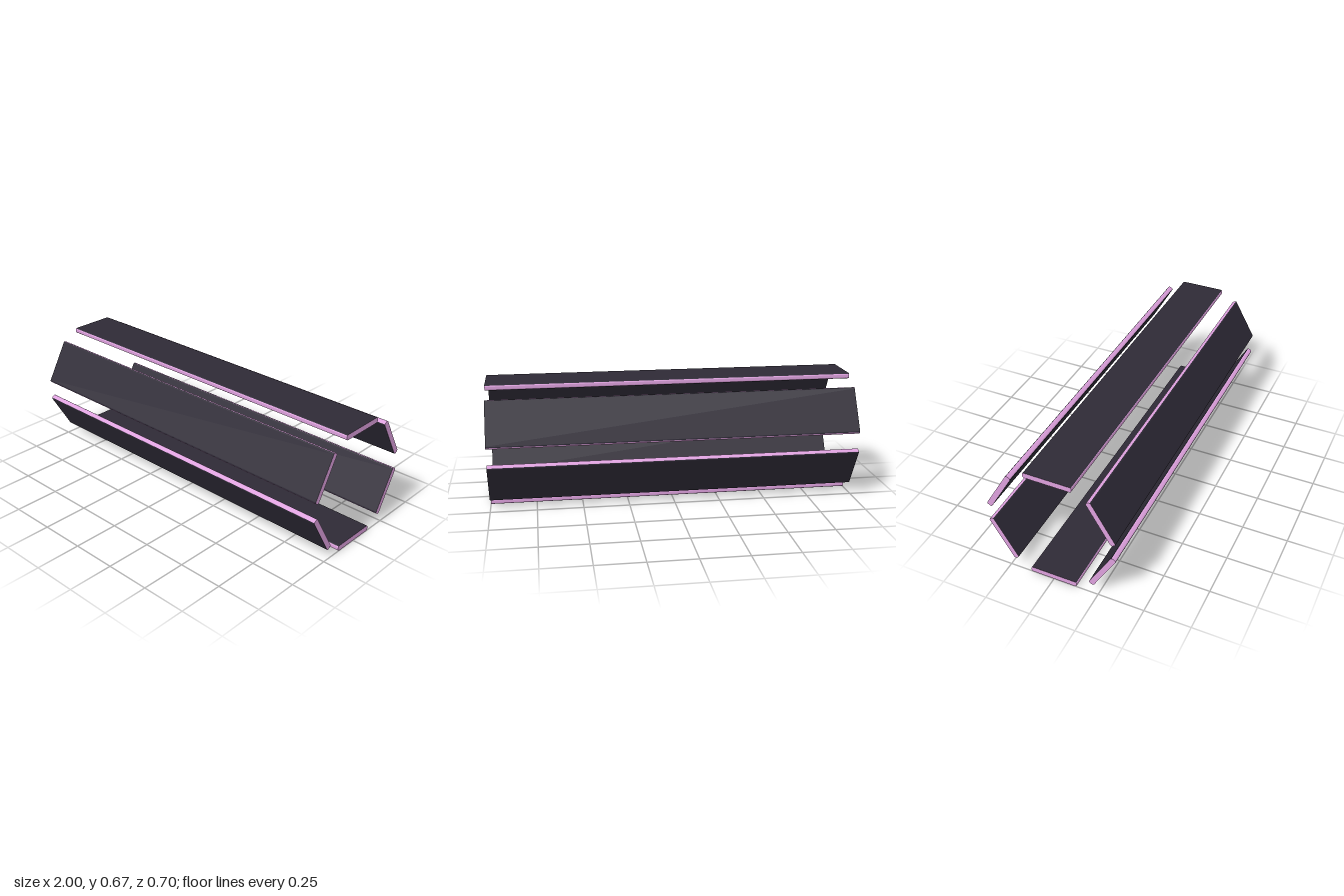
import * as THREE from 'three';

const LENGTH = 2, WIDTH = 0.26, THICK = 0.03, CORNER = 0.01;
const RING_RADIUS = 0.319, CENTRE_Y = 0.334;

// Rounded-rectangle cross-section of one slat
function slatProfile() {
  const w = WIDTH / 2, h = THICK / 2, r = CORNER;
  const s = new THREE.Shape();
  s.absarc(w - r, h - r, r, 0, Math.PI / 2);
  s.absarc(-w + r, h - r, r, Math.PI / 2, Math.PI);
  s.absarc(-w + r, -h + r, r, Math.PI, Math.PI * 1.5);
  s.absarc(w - r, -h + r, r, Math.PI * 1.5, Math.PI * 2);
  s.closePath();
  return s;
}

// Keep only the triangles whose flat normal passes the test
function pickTriangles(geometry, test) {
  const pos = geometry.attributes.position.array;
  const nor = geometry.attributes.normal.array;
  const p = [], n = [];
  for (let i = 0; i < pos.length; i += 9) {
    if (!test(nor[i + 1])) continue;
    p.push(...pos.slice(i, i + 9));
    n.push(...nor.slice(i, i + 9));
  }
  const out = new THREE.BufferGeometry();
  out.setAttribute('position', new THREE.Float32BufferAttribute(p, 3));
  out.setAttribute('normal', new THREE.Float32BufferAttribute(n, 3));
  return out;
}

export function createModel() {
  const model = new THREE.Group();
  model.name = 'slatRing';

  const dark = new THREE.MeshStandardMaterial({ color: 0x2e2a36 });
  const pink = new THREE.MeshStandardMaterial({ color: 0xdda0dd });

  // One long slat along x
  const slat = new THREE.ExtrudeGeometry(slatProfile(), {
    depth: LENGTH, bevelEnabled: false, curveSegments: 6,
  });
  slat.translate(0, 0, -LENGTH / 2);
  slat.rotateY(Math.PI / 2);

  // Dark broad faces, pink edges and ends
  const faces = pickTriangles(slat, (ny) => Math.abs(ny) > 0.7);
  const edges = pickTriangles(slat, (ny) => Math.abs(ny) <= 0.7);

  // Six slats on the sides of a hexagon, with gaps at its corners
  for (let i = 0; i < 6; i++) {
    const a = (i * Math.PI) / 3;
    const group = new THREE.Group();
    group.name = `slat${i + 1}`;
    const faceMesh = new THREE.Mesh(faces, dark);
    faceMesh.name = 'slatFaces';
    const edgeMesh = new THREE.Mesh(edges, pink);
    edgeMesh.name = 'slatEdges';
    group.add(faceMesh, edgeMesh);
    group.position.set(0, CENTRE_Y + RING_RADIUS * Math.cos(a), RING_RADIUS * Math.sin(a));
    group.rotation.x = a;
    model.add(group);
  }
  return model;
}
